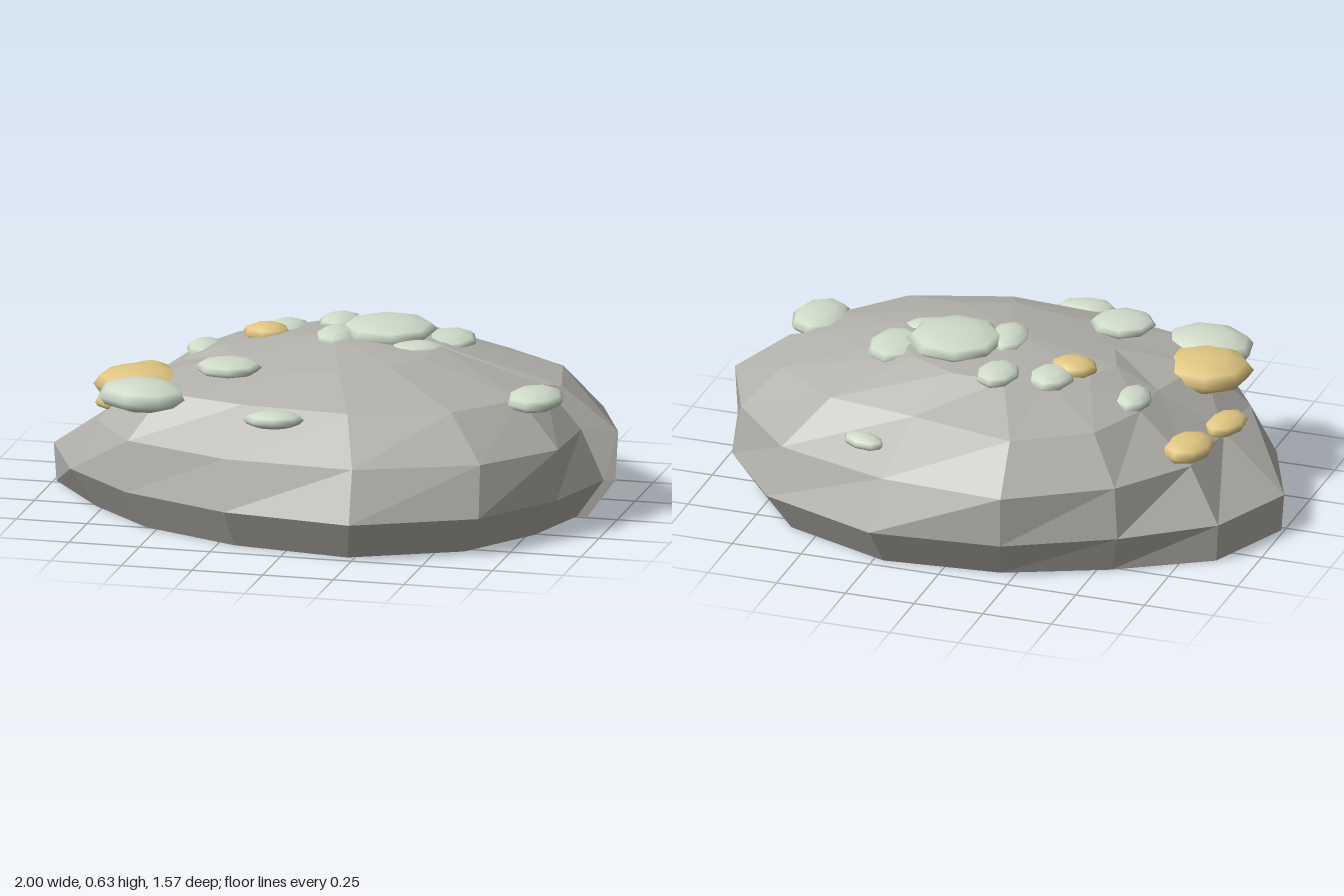
import * as THREE from 'three';

const rockMat = new THREE.MeshStandardMaterial({ color: 0xb3b1ab, flatShading: true });
rockMat.name = 'grey stone';
const paleMat = new THREE.MeshStandardMaterial({ color: 0xd0dbc9 });
paleMat.name = 'pale lichen';
const goldMat = new THREE.MeshStandardMaterial({ color: 0xe0c681 });
goldMat.name = 'golden lichen';

// Cross-sections of the rock as [x, z], running from +x through +z;
// the last corner lies beside the first and forms the step in the right end
const WIDEST = [[0.95, -0.01], [0.86, 0.29], [0.66, 0.59], [0.25, 0.785], [-0.21, 0.72], [-0.6, 0.55], [-0.86, 0.3], [-1, -0.02],
  [-0.87, -0.33], [-0.58, -0.55], [-0.22, -0.74], [0.24, -0.785], [0.67, -0.62], [0.9, -0.33], [0.99, -0.015]];
const SHOULDER = [[0.87, -0.01], [0.86, 0.27], [0.65, 0.53], [0.24, 0.7], [-0.22, 0.67], [-0.6, 0.52], [-0.77, 0.28], [-0.76, 0.04],
  [-0.745, -0.26], [-0.56, -0.52], [-0.22, -0.735], [0.22, -0.71], [0.63, -0.58], [0.87, -0.32], [1, -0.015]];
const UPPER = [[0.74, -0.01], [0.71, 0.2], [0.52, 0.42], [0.18, 0.53], [-0.2, 0.5], [-0.5, 0.42], [-0.62, 0.22], [-0.54, -0.02],
  [-0.54, -0.2], [-0.45, -0.42], [-0.2, -0.58], [0.18, -0.5], [0.5, -0.45], [0.74, -0.27], [0.8, -0.015]];

// How far the foot is drawn in below the widest section
const footScale = (i) => ({ 7: 0.99, 8: 0.99, 9: 0.94 }[i] ?? 0.9);

function makeRock() {
  const level = (pts, y) => pts.map(([x, z]) => [x, y, z]);
  const rings = [
    WIDEST.map(([x, z], i) => [x * footScale(i), 0, z * footScale(i)]),
    level(WIDEST, 0.135),
    level(SHOULDER, 0.31),
    level(UPPER, 0.46),
    // Crown, sinking towards the left and the front
    WIDEST.map(([x, z]) => [x * 0.39, 0.55 + 0.02 * x - 0.015 * z, z * 0.42 - 0.01]),
  ];
  const n = WIDEST.length;
  const positions = rings.flat(2);
  const index = [];
  const base = rings.length * n;
  positions.push(0, 0, 0, 0, 0.595, 0);
  for (let j = 0; j < n; j++) {
    const k = (j + 1) % n;
    for (let i = 0; i < rings.length - 1; i++) {
      const a = i * n + j, b = i * n + k, c = a + n, d = b + n;
      index.push(a, c, b, b, c, d);
    }
    const top = (rings.length - 1) * n;
    index.push(base, j, k, base + 1, top + k, top + j);
  }
  const geo = new THREE.BufferGeometry();
  geo.setAttribute('position', new THREE.Float32BufferAttribute(positions, 3));
  geo.setIndex(index);
  const flat = geo.toNonIndexed();
  flat.computeVertexNormals();
  const rock = new THREE.Mesh(flat, rockMat);
  rock.name = 'rock';
  return rock;
}

// Lichen patches: x, y, z, half sizes x, y, z, turn
const PALE = [
  [0.16, 0.59, -0.12, 0.17, 0.04, 0.175, 0.3],
  [0.36, 0.552, -0.16, 0.1, 0.03, 0.14, 0],
  [0.28, 0.558, 0, 0.11, 0.03, 0.07, 0.2],
  [0, 0.575, -0.03, 0.075, 0.035, 0.12, 0.1],
  [-0.05, 0.56, -0.28, 0.075, 0.03, 0.1, 0],
  [-0.22, 0.54, -0.21, 0.08, 0.035, 0.1, 0],
  [-0.49, 0.47, -0.14, 0.068, 0.035, 0.1, 0.1],
  [-0.3, 0.535, 0.3, 0.115, 0.03, 0.11, 0.2],
  [-0.575, 0.447, 0.41, 0.165, 0.053, 0.14, -0.25],
  [-0.07, 0.435, 0.575, 0.105, 0.03, 0.065, 0.2],
  [0.75, 0.455, 0.16, 0.1, 0.037, 0.14, 0],
  [0.33, 0.382, -0.585, 0.082, 0.025, 0.05, -0.35],
];
const GOLD = [
  [-0.625, 0.44, 0.235, 0.165, 0.06, 0.16, 0.3],
  [-0.27, 0.55, -0.12, 0.085, 0.035, 0.075, 0],
  [-0.715, 0.35, -0.2, 0.085, 0.04, 0.115, -0.15],
  [-0.755, 0.33, 0.065, 0.07, 0.03, 0.105, -0.15],
];

function addPatches(parent, list, material, name) {
  const geo = new THREE.SphereGeometry(1, 8, 6);
  for (const [x, y, z, rx, ry, rz, turn] of list) {
    const patch = new THREE.Mesh(geo, material);
    patch.name = name;
    patch.position.set(x, y, z);
    patch.scale.set(rx, ry, rz);
    patch.rotation.y = turn;
    parent.add(patch);
  }
}

export function createModel() {
  const model = new THREE.Group();
  model.name = 'lichenRock';
  model.add(makeRock());
  addPatches(model, PALE, paleMat, 'paleLichen');
  addPatches(model, GOLD, goldMat, 'goldenLichen');
  return model;
}
